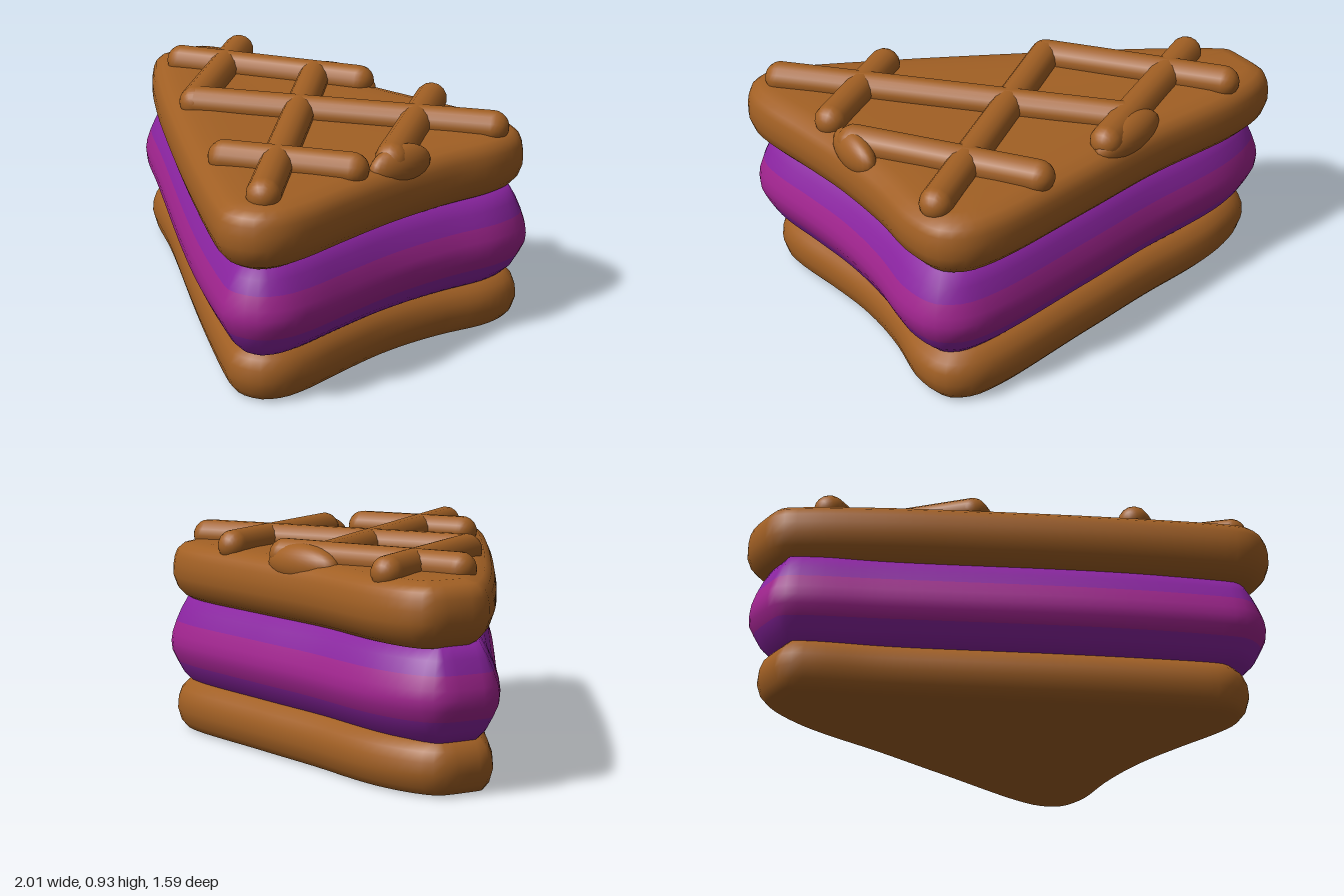
import * as THREE from 'three';

const mat = (name, color) => {
  const m = new THREE.MeshStandardMaterial({ color });
  m.name = name;
  return m;
};

// Rounded triangular outline as (x, z), clockwise seen from above
const OUTLINE = [
  [0.6, -0.785], [0.75, -0.78], [0.85, -0.71], [0.895, -0.55], [0.89, -0.3],
  [0.91, 0], [0.95, 0.25], [0.995, 0.5], [0.995, 0.63], [0.95, 0.73], [0.87, 0.78], [0.8, 0.79],
  [0.72, 0.765], [0.3, 0.58], [-0.2, 0.34], [-0.6, 0.135], [-0.9, -0.04],
  [-0.985, -0.11], [-1, -0.2], [-0.995, -0.36], [-0.92, -0.43], [-0.75, -0.495], [-0.3, -0.57], [0.1, -0.67],
];
const N = 110;
const curve = new THREE.CatmullRomCurve3(
  OUTLINE.map(([x, z]) => new THREE.Vector3(x, 0, z)), true, 'centripetal');
const RIM = Array.from({ length: N }, (_, i) => {
  const p = curve.getPointAt(i / N), t = curve.getTangentAt(i / N);
  return { x: p.x, z: p.z, nx: t.z, nz: -t.x };
});

// Shifts the outline softly around each listed corner: [cornerX, cornerZ, dx, dz]
function nudge(x, z, corners) {
  let px = x, pz = z;
  for (const [cx, cz, dx, dz] of corners) {
    const w = Math.exp(-((x - cx) ** 2 + (z - cz) ** 2) / 0.16);
    px += dx * w;
    pz += dz * w;
  }
  return [px, pz];
}

// Stacks outline rings [y, inset, spread, material]; spread shrinks caps to their centre
function slab(name, rings, materials, place) {
  const pos = [], index = [], cx = 0.2, cz = -0.05;
  const geo = new THREE.BufferGeometry();
  rings.forEach(([y, inset, spread = 1]) => {
    for (const r of RIM) {
      const x = cx + (r.x - r.nx * inset - cx) * spread;
      const z = cz + (r.z - r.nz * inset - cz) * spread;
      const [px, pz] = place(x, z);
      pos.push(px, y, pz);
    }
  });
  for (let k = 0; k < rings.length - 1; k++) {
    geo.addGroup(index.length, N * 6, rings[k][3] ?? 0);
    for (let i = 0; i < N; i++) {
      const j = (i + 1) % N;
      const a = k * N + i, b = k * N + j, c = a + N, d = b + N;
      index.push(a, c, b, b, c, d);
    }
  }
  geo.setAttribute('position', new THREE.Float32BufferAttribute(pos, 3));
  geo.setIndex(index);
  geo.computeVertexNormals();
  const mesh = new THREE.Mesh(geo, materials);
  mesh.name = name;
  return mesh;
}

export function createModel() {
  const crust = mat('toasted brown', 0xa26024);
  const violet = mat('violet filling', 0x8a24a0);
  const magenta = mat('magenta filling', 0xa0248e);
  const group = new THREE.Group();
  group.name = 'waffleSandwich';

  // Lower waffle, a little smaller than the rest
  group.add(slab('lowerWaffle', [
    [0.008, 0, 0.001], [0.008, 0.07, 0.5], [0.01, 0.07, 0.97], [0.015, 0.045], [0.045, 0.018],
    [0.1, 0], [0.15, 0.005], [0.19, 0.022], [0.225, 0.06], [0.235, 0.12],
    [0.235, 0.12, 0.001],
  ], [crust], (x, z) => {
    const [px, pz] = nudge(x, z, [[0.9, -0.65, 0.065, -0.04], [-1, -0.25, 0.005, 0.085]]);
    return [px * 0.94 - 0.02, pz * 0.92 - 0.03];
  }));

  // Filling, with a magenta band between two violet ones
  group.add(slab('filling', [
    [0.22, 0.12, 0.001], [0.22, 0.12, 0.9], [0.22, 0.095], [0.26, 0.055], [0.315, 0.025, 1, 1],
    [0.36, 0.004, 1, 1], [0.4, 0, 1, 1], [0.44, 0.006, 1, 1], [0.495, 0.025],
    [0.55, 0.05], [0.61, 0.085], [0.62, 0.12, 0.9], [0.62, 0.12, 0.001],
  ], [violet, magenta], (x, z) => nudge(x, z, [
    [0.9, -0.6, 0.032, -0.012], [-1, -0.25, 0, 0.055], [0.9, 0.7, -0.015, -0.028],
  ])));

  // Upper waffle
  group.add(slab('upperWaffle', [
    [0.59, 0.13, 0.001], [0.59, 0.13, 0.9], [0.595, 0.085], [0.615, 0.05], [0.65, 0.018],
    [0.7, 0], [0.75, 0], [0.79, 0.007], [0.82, 0.02], [0.842, 0.047],
    [0.855, 0.1], [0.858, 0.12, 0.85], [0.855, 0.12, 0.5], [0.855, 0.12, 0.001],
  ], [crust], (x, z) => [x, z]));

  // Raised lattice bars on top: from (x, z) to (x, z)
  const bars = [
    [-0.72, -0.4, -0.21, 0.195], [-0.74, -0.1, -0.03, -0.55],
    [-0.21, 0.195, 0.78, -0.6], [-0.19, -0.43, 0.845, 0.615],
    [0.35, -0.64, 0.83, -0.02], [0.42, 0.49, 0.83, 0.18],
  ];
  const lattice = new THREE.Group();
  lattice.name = 'lattice';
  const up = new THREE.Vector3(0, 1, 0);
  bars.forEach(([x0, z0, x1, z1], i) => {
    const a = new THREE.Vector3(x0, 0.87, z0), b = new THREE.Vector3(x1, 0.87, z1);
    const dir = b.clone().sub(a);
    const bar = new THREE.Mesh(new THREE.CapsuleGeometry(0.068, dir.length(), 6, 14), crust);
    bar.position.copy(a).add(b).multiplyScalar(0.5);
    bar.quaternion.setFromUnitVectors(up, dir.normalize());
    bar.name = `latticeBar${i + 1}`;
    lattice.add(bar);
  });
  group.add(lattice);

  // Soft swellings where two bars melt into the rim: x, z, radii, turn
  [[-0.15, -0.52, 0.2, 0.075, 0.35], [0.845, -0.05, 0.06, 0.15, 0]].forEach(([x, z, rx, rz, turn], i) => {
    const swell = new THREE.Mesh(new THREE.SphereGeometry(1, 24, 16), crust);
    swell.scale.set(rx, 0.085, rz);
    swell.position.set(x, 0.84, z);
    swell.rotation.y = turn;
    swell.name = `rimSwelling${i + 1}`;
    group.add(swell);
  });
  return group;
}
